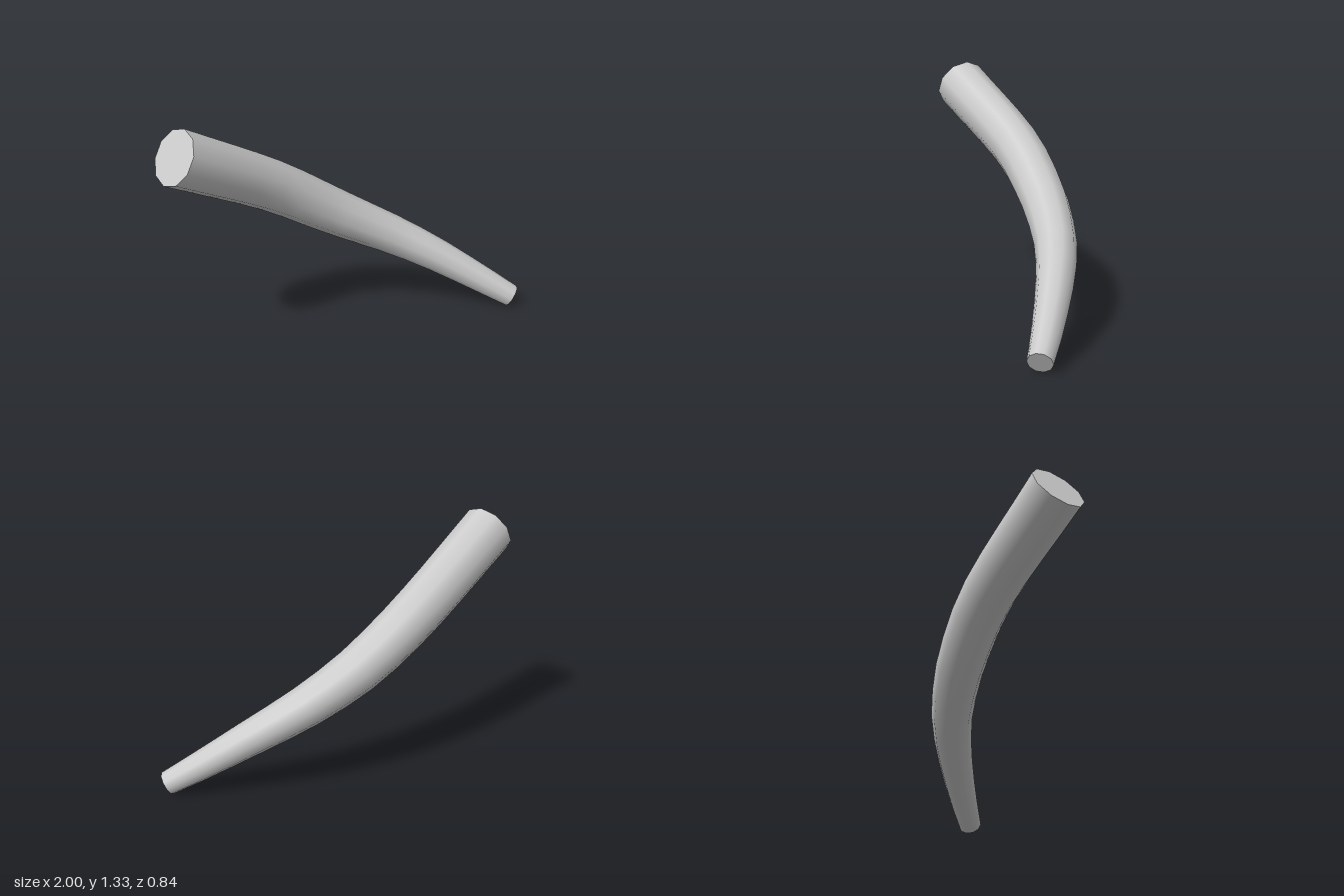
import * as THREE from 'three';

const SIDES = 10, RINGS = 14;

// Centre line of the limb with the radius at each point: x, y, z, r
const spine = [
  [-0.895, 1.2, 0.29, 0.152],
  [-0.4, 0.87, -0.085, 0.141],
  [-0.15, 0.695, -0.21, 0.134],
  [0, 0.6, -0.262, 0.127],
  [0.25, 0.463, -0.312, 0.113],
  [0.5, 0.33, -0.312, 0.098],
  [0.8, 0.157, -0.28, 0.078],
  [0.965, 0.062, -0.253, 0.065],
];

function radiusAt(x) {
  let i = 0;
  while (i < spine.length - 2 && x > spine[i + 1][0]) i++;
  const a = spine[i], b = spine[i + 1];
  const t = THREE.MathUtils.clamp((x - a[0]) / (b[0] - a[0]), 0, 1);
  return THREE.MathUtils.lerp(a[3], b[3], t);
}

// Flat end face fanned over one ring of the tube
function capGeometry(tube, ring, flip) {
  const pos = tube.attributes.position, points = [], index = [];
  for (let j = 0; j < SIDES; j++) {
    points.push(new THREE.Vector3().fromBufferAttribute(pos, ring * (SIDES + 1) + j));
    if (j > 1) index.push(...(flip ? [0, j, j - 1] : [0, j - 1, j]));
  }
  const geometry = new THREE.BufferGeometry().setFromPoints(points);
  geometry.setIndex(index);
  geometry.computeVertexNormals();
  return geometry;
}

export function createModel() {
  const group = new THREE.Group();
  group.name = 'curvedTaperedLimb';
  const material = new THREE.MeshStandardMaterial({ color: 0xcccccc });
  const add = (name, geometry) => {
    const mesh = new THREE.Mesh(geometry, material);
    mesh.name = name;
    group.add(mesh);
  };

  // Tapered body: a unit tube pulled in to the radius at each ring
  const curve = new THREE.CatmullRomCurve3(spine.map(([x, y, z]) => new THREE.Vector3(x, y, z)));
  const tube = new THREE.TubeGeometry(curve, RINGS, 1, SIDES, false);
  const { position, normal } = tube.attributes;
  const v = new THREE.Vector3(), n = new THREE.Vector3();
  for (let i = 0; i <= RINGS; i++) {
    const centre = curve.getPointAt(i / RINGS);
    const r = radiusAt(centre.x);
    for (let j = 0; j <= SIDES; j++) {
      const k = i * (SIDES + 1) + j;
      n.fromBufferAttribute(normal, k);
      v.copy(centre).addScaledVector(n, r);
      position.setXYZ(k, v.x, v.y, v.z);
    }
  }
  add('body', tube);

  // End faces
  add('thickEnd', capGeometry(tube, 0, false));
  add('thinEnd', capGeometry(tube, RINGS, true));
  return group;
}
